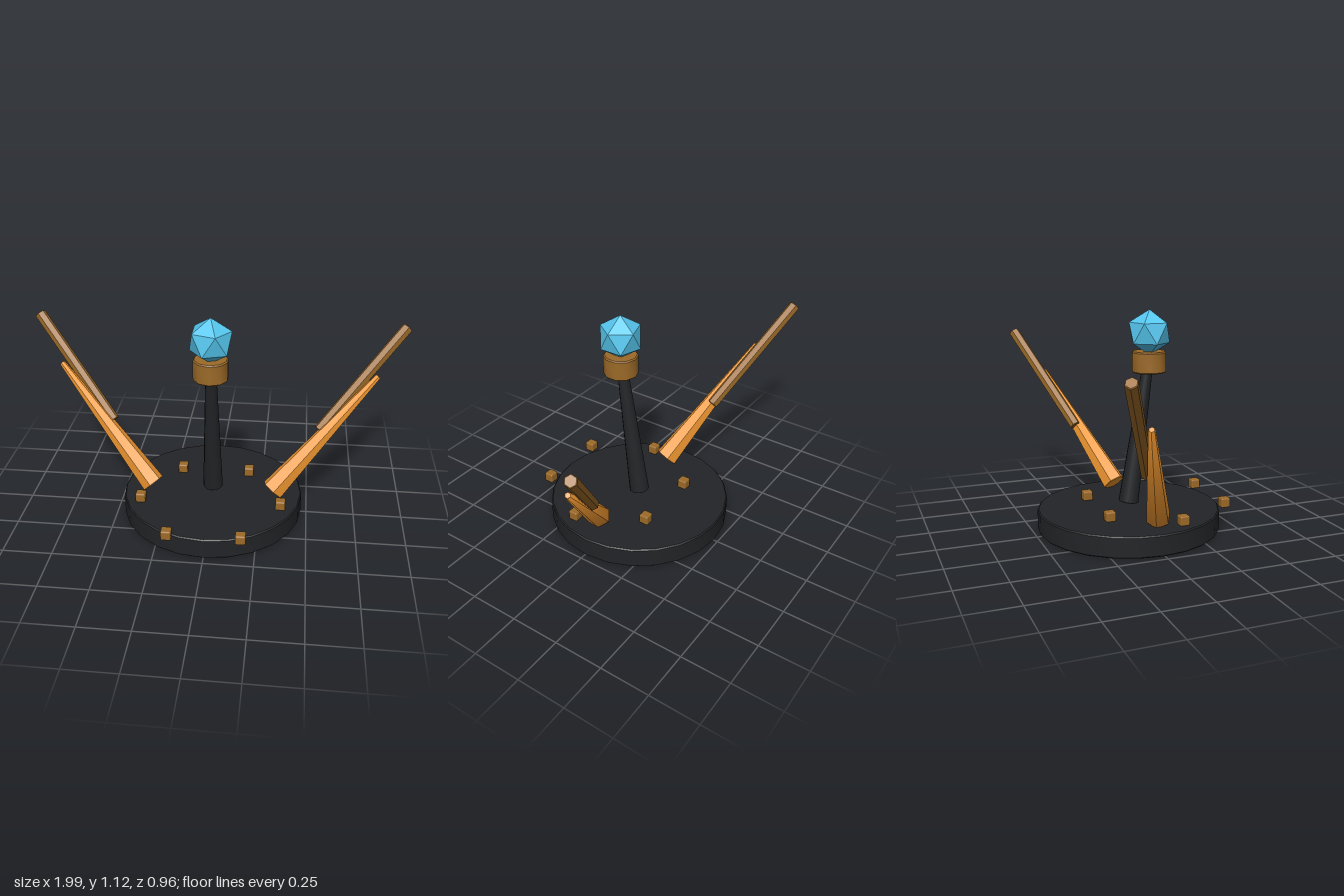
import * as THREE from 'three';
import { toCreasedNormals } from 'three/addons/utils/BufferGeometryUtils.js';
import { RoundedBoxGeometry } from 'three/addons/geometries/RoundedBoxGeometry.js';

const paint = (color) => new THREE.MeshStandardMaterial({ color });
const black = paint(0x222427);
const brown = paint(0x9c6a28);
const orange = paint(0xef9630);
const blue = paint(0x55c6ee);

// Tapered prism standing on y = 0, with small bevels on both rims
function taperedPrism(r0, r1, height, sides, bevel) {
  const profile = [
    [0, 0], [r0 - bevel, 0], [r0, bevel],
    [r1, height - bevel], [r1 - bevel, height], [0, height],
  ].map(([x, y]) => new THREE.Vector2(x, y));
  return toCreasedNormals(new THREE.LatheGeometry(profile, sides), 0.7);
}

function addMesh(parent, name, geometry, material) {
  const mesh = new THREE.Mesh(geometry, material);
  mesh.name = name;
  parent.add(mesh);
  return mesh;
}

// Tapered prism running from one point to another
function addStrut(parent, name, from, to, r0, r1, sides, bevel, material) {
  const a = new THREE.Vector3(...from);
  const dir = new THREE.Vector3(...to).sub(a);
  const mesh = addMesh(parent, name, taperedPrism(r0, r1, dir.length(), sides, bevel), material);
  mesh.position.copy(a);
  mesh.quaternion.setFromUnitVectors(new THREE.Vector3(0, 1, 0), dir.normalize());
  return mesh;
}

export function createModel() {
  const model = new THREE.Group();
  model.name = 'orbStand';

  // Round base
  const base = addMesh(model, 'base', taperedPrism(0.47, 0.47, 0.108, 24, 0.006), black);
  base.position.z = -0.01;

  // Leaning mast with collar and faceted orb
  addStrut(model, 'mast', [0, 0.132, -0.01], [0, 0.84, 0.095], 0.052, 0.027, 12, 0.003, black);
  const collar = addMesh(model, 'collar', taperedPrism(0.088, 0.088, 0.108, 10, 0.006), brown);
  collar.position.set(0, 0.803, 0.102);

  const orbGeometry = new THREE.IcosahedronGeometry(0.115, 0);
  orbGeometry.rotateZ(-Math.atan(2 / (1 + Math.sqrt(5)))); // one corner straight up
  const orb = addMesh(model, 'orb', orbGeometry, blue);
  orb.position.set(0, 1.005, 0.103);

  // Two-piece arms on both sides
  for (const [side, s] of [['left', 1], ['right', -1]]) {
    const arm = new THREE.Group();
    arm.name = `${side}Arm`;
    model.add(arm);
    addStrut(arm, `${side}LowerArm`, [s * 0.315, 0.14, 0.025], [s * 0.833, 0.71, -0.225],
      0.062, 0.016, 6, 0.003, orange);
    addStrut(arm, `${side}UpperArm`, [s * 0.545, 0.43, -0.125], [s * 0.975, 0.932, -0.367],
      0.03, 0.03, 6, 0.004, brown);
  }

  // Ring of six studs
  for (let i = 0; i < 6; i++) {
    const angle = (i * Math.PI) / 3;
    const stud = addMesh(model, `stud${i + 1}`, new RoundedBoxGeometry(0.051, 0.051, 0.051, 2, 0.008), brown);
    stud.position.set(0.363 * Math.cos(angle), 0.13, 0.138 + 0.363 * Math.sin(angle));
  }

  return model;
}
